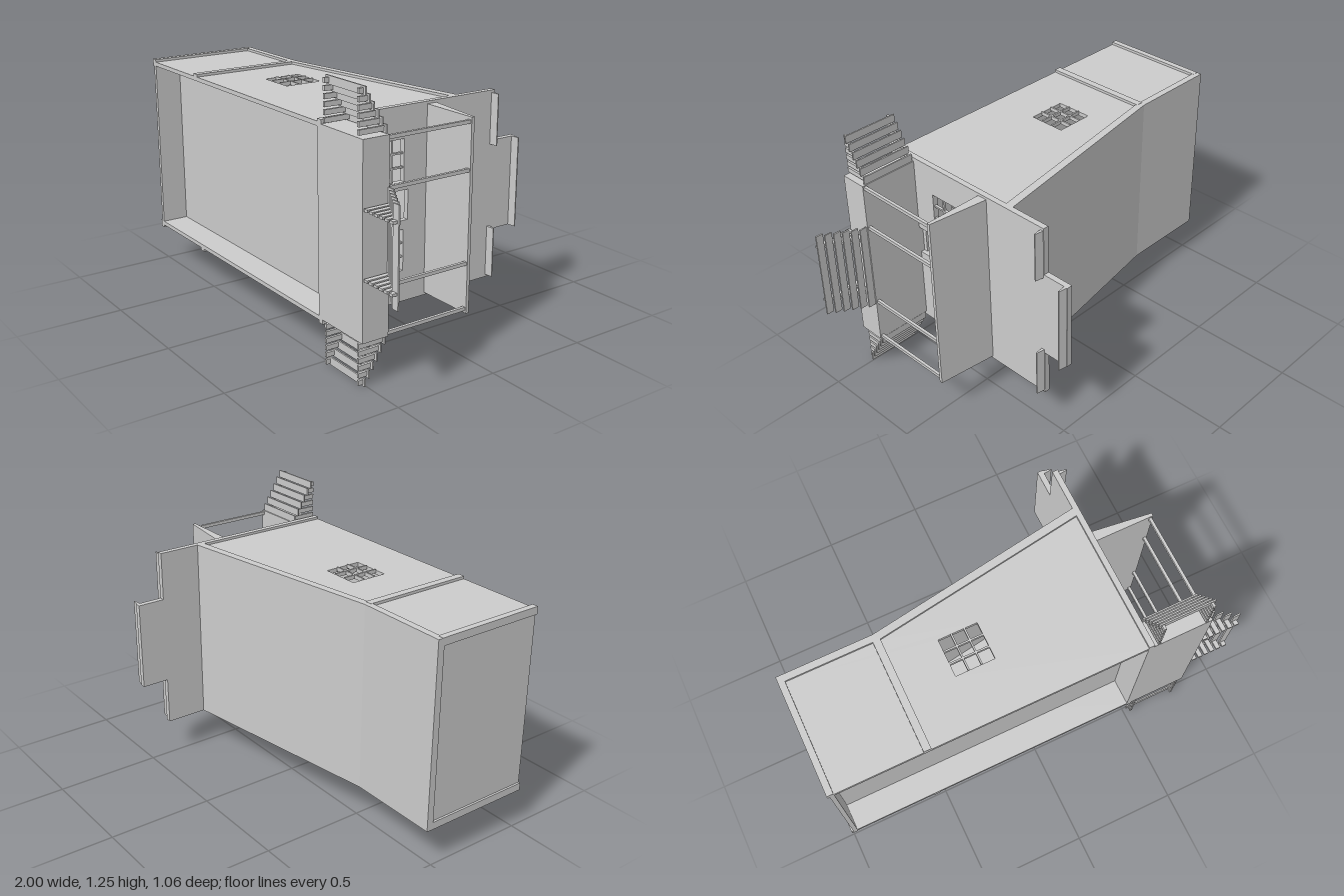
import * as THREE from 'three';

// The building rests on its side: its up is -z, its entrance faces +x.
export function createModel() {
  const model = new THREE.Group();
  const mat = new THREE.MeshStandardMaterial({ color: 0xcccccc, flatShading: true, side: THREE.DoubleSide });

  function add(geo, name, parent = model) {
    const mesh = new THREE.Mesh(geo, mat);
    mesh.name = name;
    parent.add(mesh);
    return mesh;
  }
  function box(name, [x0, x1], [y0, y1], [z0, z1], parent) {
    const geo = new THREE.BoxGeometry(x1 - x0, y1 - y0, z1 - z0);
    geo.translate((x0 + x1) / 2, (y0 + y1) / 2, (z0 + z1) / 2);
    return add(geo, name, parent);
  }
  const shapeOf = pts => new THREE.Shape(pts.map(p => new THREE.Vector2(...p)));
  function cutRect(shape, [a0, a1], [b0, b1]) {
    shape.holes.push(new THREE.Path([[a0, b0], [a0, b1], [a1, b1], [a1, b0]].map(p => new THREE.Vector2(...p))));
  }
  // Extrude an (x, z) profile along y
  function alongY(name, shape, y0, y1, parent) {
    const geo = new THREE.ExtrudeGeometry(shape, { depth: y1 - y0, bevelEnabled: false });
    geo.rotateX(Math.PI / 2).translate(0, y1, 0);
    return add(geo, name, parent);
  }
  // Extrude a (-z, y) profile along x
  function alongX(name, shape, x0, x1, parent) {
    const geo = new THREE.ExtrudeGeometry(shape, { depth: x1 - x0, bevelEnabled: false });
    geo.rotateY(Math.PI / 2).translate(x0, 0, 0);
    return add(geo, name, parent);
  }

  const MID = 0.627;
  const sides = [-1, 1];
  const span = (a, b) => (a < b ? [a, b] : [b, a]);
  const mirrored = (s, a, b) => span(MID + s * a, MID + s * b);
  const winZ = [0.106, 0.286];

  // Side walls with window openings, trim posts and glazing bars
  const sideWinX = [-0.31, -0.125];
  for (const s of sides) {
    const wall = shapeOf([[-0.985, 0.53], [0.49, 0.53], [0.49, -0.17], [-0.55, -0.005], [-0.985, -0.005]]);
    cutRect(wall, sideWinX, winZ);
    alongY('sideWall', wall, ...mirrored(s, 0.413, 0.433));
    box('cornerTrim', [-1, -0.97], mirrored(s, 0.41, 0.446), [-0.01, 0.53]);
    box('middleTrim', [-0.567, -0.532], mirrored(s, 0.43, 0.446), [-0.01, 0.53]);
    const bars = new THREE.Group();
    bars.name = 'sideWindowBars';
    for (const t of [1 / 3, 2 / 3]) {
      const x = THREE.MathUtils.lerp(...sideWinX, t), z = THREE.MathUtils.lerp(...winZ, t);
      box('uprightBar', [x - 0.004, x + 0.004], mirrored(s, 0.42, 0.438), winZ, bars);
      box('crossBar', sideWinX, mirrored(s, 0.42, 0.438), [z - 0.004, z + 0.004], bars);
    }
    model.add(bars);
  }

  // Rear wall, floor and bent roof slab
  box('rearWall', [-0.99, -0.97], [0.2, 1.054], [-0.01, 0.53]);
  box('floor', [-0.98, 0.495], [0.21, 1.045], [0.38, 0.4]);
  alongY('roof', shapeOf([[-1, -0.033], [-0.555, -0.033], [0.495, -0.2], [0.495, -0.16],
    [-0.535, 0], [-1, 0]]), 0.182, 1.072);

  // Stepped false front with a doorway and two windows
  const facade = shapeOf([[-0.53, 0.182], [0.4, 0.182], [0.4, 0.414], [0.532, 0.414],
    [0.532, 0.84], [0.4, 0.84], [0.4, 1.072], [-0.53, 1.072]]);
  cutRect(facade, [-0.4, -0.083], [0.56, 0.698]);
  const frontWindows = sides.map(s => mirrored(s, 0.108, 0.299));
  for (const w of frontWindows) cutRect(facade, [-winZ[1], -winZ[0]], w);
  alongX('falseFront', facade, 0.488, 0.515);
  for (const w of frontWindows) {
    const bars = new THREE.Group();
    bars.name = 'frontWindowBars';
    for (const t of [1 / 3, 2 / 3]) {
      const y = THREE.MathUtils.lerp(...w, t), z = THREE.MathUtils.lerp(...winZ, t);
      box('uprightBar', [0.495, 0.508], [y - 0.004, y + 0.004], winZ, bars);
      box('crossBar', [0.495, 0.508], w, [z - 0.004, z + 0.004], bars);
    }
    model.add(bars);
  }

  // Tapered cornices on each step of the false front
  const cornice = (z, y0, y1) => alongY('cornice',
    shapeOf([[0.51, z], [0.555, z + 0.008], [0.555, z + 0.013], [0.51, z + 0.017]]), y0, y1);
  cornice(-0.53, 0.414, 0.84);
  for (const s of sides) cornice(-0.398, ...mirrored(s, 0.196, 0.433));

  // Porch deck, sloped roof and posts
  box('porchDeck', [0.49, 0.8], [0.203, 1.053], [0.4, 0.53]);
  alongY('porchRoof', shapeOf([[0.51, -0.066], [0.8, -0.031], [0.8, -0.016], [0.51, -0.016]]), 0.194, 1.06);
  for (const s of sides) {
    for (const d of [0.206, 0.413]) box('porchPost', [0.78, 0.794], mirrored(s, d - 0.008, d + 0.008), [-0.02, 0.405]);
  }

  // Open stairs: thin treads, each on two legs; local x runs away from the deck
  function stairs(name, width, legOffset) {
    const flight = new THREE.Group();
    flight.name = name;
    for (let i = 0; i < 6; i++) {
      const x = i * 0.0325, z = 0.403 + i * 0.0198;
      box('tread', [x, x + 0.036], [-width / 2, width / 2], [z, z + 0.007], flight);
      for (const s of sides) {
        const y = s * legOffset;
        box('treadLeg', [x + 0.007, x + 0.029], [y - 0.006, y + 0.006], [z + 0.006, 0.53], flight);
      }
    }
    model.add(flight);
    return flight;
  }
  stairs('frontStairs', 0.43, 0.146).position.set(0.802, MID, 0);
  for (const s of sides) {
    const flight = stairs('sideStairs', 0.267, 0.116);
    flight.rotation.z = s * Math.PI / 2;
    flight.position.set(0.653, MID + s * 0.428, 0);
  }
  return model;
}
